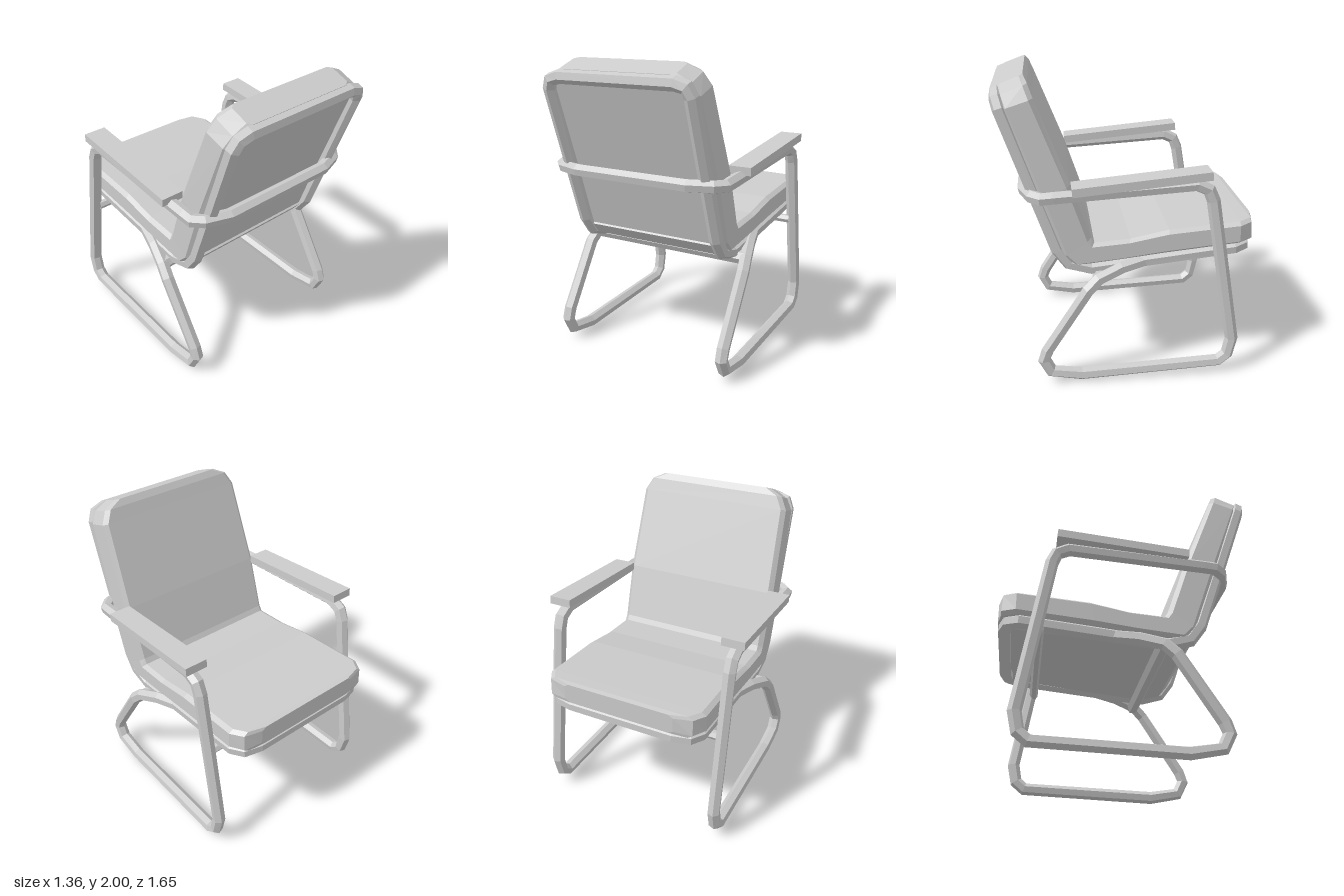
import * as THREE from 'three';

const material = new THREE.MeshStandardMaterial({ color: 0xcccccc, flatShading: true, side: THREE.DoubleSide });

// Polyline curve sampled exactly at its corners, giving mitred low-poly tubes
class Polyline extends THREE.Curve {
  constructor(points, closed) {
    super();
    this.points = points;
    this.closed = closed;
    this.count = closed ? points.length : points.length - 1;
  }
  at(i) {
    const n = this.points.length;
    return this.points[this.closed ? (i + n) % n : Math.min(Math.max(i, 0), n - 1)];
  }
  getPoint(t, target = new THREE.Vector3()) {
    const f = t * this.count, i = Math.floor(f + 1e-6);
    return target.lerpVectors(this.at(i), this.at(i + 1), Math.max(0, f - i));
  }
  getPointAt(u, target) { return this.getPoint(u, target); }
  getTangentAt(u, target = new THREE.Vector3()) {
    const i = Math.round(u * this.count), p = this.at(i);
    const before = p.clone().sub(this.at(i - 1)).normalize();
    const after = this.at(i + 1).clone().sub(p).normalize();
    return target.copy(before.add(after)).normalize();
  }
}

function add(group, name, geometry) {
  const mesh = new THREE.Mesh(geometry, material);
  mesh.name = name;
  group.add(mesh);
  return mesh;
}

function tube(points, radius, closed = false) {
  const curve = new Polyline(points.map(p => new THREE.Vector3(...p)), closed);
  return new THREE.TubeGeometry(curve, curve.count, radius, 6, closed);
}

// Full path from its +x half: the half, then its mirror image backwards
const mirrored = half => [...half, ...half.map(([x, y, z]) => [-x, y, z]).reverse()];

// Chamfered slab lofted through stations [upper y, z, lower y, z, half width]
function slab(stations, chamfer, k) {
  const positions = [], index = [], sides = 8, last = (stations.length - 1) * sides;
  for (const [y0, z0, y1, z1, w] of stations) {
    const c = w - chamfer;
    const section = [[-c, 0], [c, 0], [w, k], [w, 1 - k], [c, 1], [-c, 1], [-w, 1 - k], [-w, k]];
    for (const [x, v] of section) positions.push(x, y0 + (y1 - y0) * v, z0 + (z1 - z0) * v);
  }
  for (let i = 0; i < last; i += sides) {
    for (let j = 0; j < sides; j++) {
      const a = i + j, b = i + (j + 1) % sides;
      index.push(a, a + sides, b, b, a + sides, b + sides);
    }
  }
  for (let j = 1; j < sides - 1; j++) {
    index.push(0, j, j + 1, last, last + j + 1, last + j);
  }
  const geometry = new THREE.BufferGeometry();
  geometry.setAttribute('position', new THREE.Float32BufferAttribute(positions, 3));
  geometry.setIndex(index);
  geometry.computeVertexNormals();
  return geometry;
}

export function createModel() {
  const chair = new THREE.Group();
  chair.name = 'armchair';

  // Seat and backrest cushion, from the seat's front edge to the top of the back
  add(chair, 'cushion', slab([
    [1.055, -0.82, 0.92, -0.82, 0.38],
    [1.06, -0.79, 0.91, -0.80, 0.50],
    [1.055, -0.71, 0.905, -0.71, 0.55],
    [1.02, -0.25, 0.86, -0.22, 0.55],
    [0.97, 0.00, 0.83, 0.05, 0.55],
    [0.955, 0.23, 0.80, 0.36, 0.55],
    [0.99, 0.25, 0.87, 0.43, 0.55],
    [1.35, 0.37, 1.27, 0.565, 0.555],
    [1.88, 0.575, 1.82, 0.76, 0.535],
    [1.96, 0.605, 1.89, 0.785, 0.49],
    [2.00, 0.63, 1.94, 0.79, 0.40],
  ], 0.03, 0.14));

  // Panel closing the underside within the rim
  add(chair, 'undersidePanel', slab([
    [0.89, -0.72, 0.845, -0.72, 0.44],
    [0.80, 0.25, 0.75, 0.25, 0.49],
    [0.84, 0.34, 0.785, 0.38, 0.49],
    [0.89, 0.41, 0.86, 0.44, 0.49],
  ], 0.01, 0.2));

  // Rim running around the underside and the rear of the cushion
  add(chair, 'cushionRim', tube(mirrored([
    [0.36, 0.875, -0.775], [0.46, 0.87, -0.75], [0.50, 0.865, -0.68],
    [0.50, 0.77, 0.25], [0.50, 0.81, 0.39], [0.50, 0.91, 0.46],
    [0.495, 1.82, 0.77], [0.47, 1.875, 0.785], [0.40, 1.895, 0.79],
  ]), 0.046, true));

  // Continuous frame: seat rail, rear leg, floor runner, front leg, arm, bar behind the back
  add(chair, 'tubeFrame', tube(mirrored([
    [0.50, 0.805, -0.10], [0.545, 0.78, 0.06], [0.59, 0.73, 0.21], [0.605, 0.66, 0.28],
    [0.605, 0.24, 0.55], [0.605, 0.17, 0.575], [0.605, 0.08, 0.53], [0.605, 0.045, 0.33],
    [0.605, 0.08, -0.59], [0.605, 0.13, -0.65], [0.605, 0.25, -0.675],
    [0.605, 1.24, -0.505], [0.605, 1.31, -0.475], [0.605, 1.345, -0.40],
    [0.605, 1.295, 0.48], [0.605, 1.29, 0.55], [0.55, 1.29, 0.605], [0.40, 1.29, 0.655],
  ]), 0.043));

  // Crossbars beneath the seat
  for (const [name, y, z, radius] of [['rearCrossbar', 0.725, 0.20, 0.045], ['frontCrossbar', 0.785, -0.56, 0.03]]) {
    add(chair, name, tube([[-0.59, y, z], [0.59, y, z]], radius));
  }

  // Armrest pads
  for (const [name, side] of [['leftArmrest', 1], ['rightArmrest', -1]]) {
    const pad = add(chair, name, new THREE.BoxGeometry(0.15, 0.053, 0.85));
    pad.position.set(side * 0.605, 1.382, -0.055);
    pad.rotation.x = 0.09;
  }
  return chair;
}
